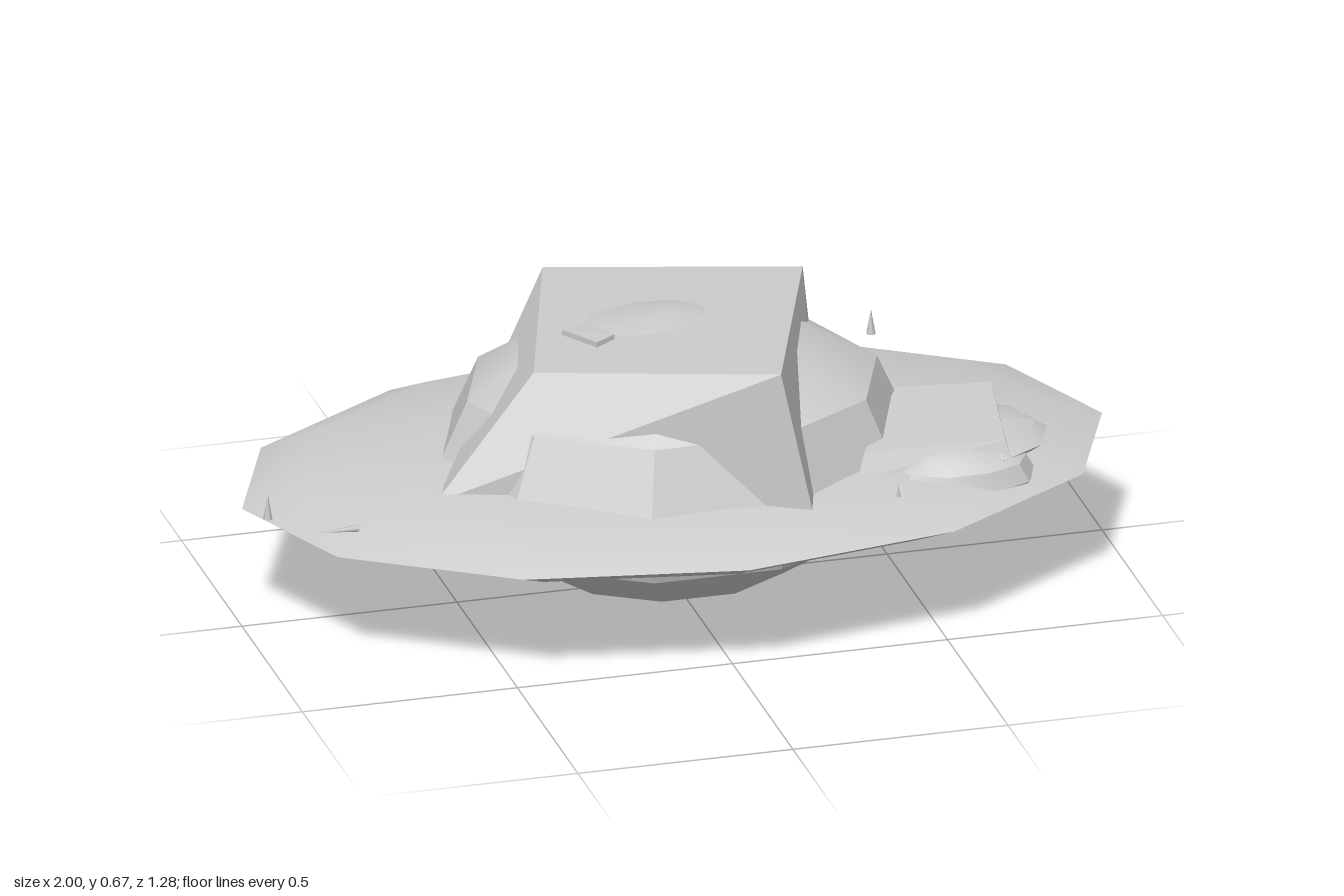
import * as THREE from 'three';
import { toCreasedNormals } from 'three/addons/utils/BufferGeometryUtils.js';
import { ConvexGeometry } from 'three/addons/geometries/ConvexGeometry.js';

export function createModel() {
  const model = new THREE.Group();
  model.name = 'saucer';
  const grey = new THREE.MeshStandardMaterial({ color: 0xcccccc });
  grey.name = 'pale grey';

  function add(name, geometry) {
    const mesh = new THREE.Mesh(geometry, grey);
    mesh.name = name;
    model.add(mesh);
    return mesh;
  }

  // low-poly ellipsoid with baked radii, so creases follow the squashed shape
  function ellipsoid(name, [x, y, z], [rx, ry, rz], sides) {
    const g = new THREE.SphereGeometry(1, sides, 6).scale(rx, ry, rz).translate(x, y, z);
    return add(name, toCreasedNormals(g, 0.5));
  }

  // skewed block from four top and four bottom corners
  function block(name, corners) {
    return add(name, new ConvexGeometry(corners.map((c) => new THREE.Vector3(...c))));
  }

  // wide flat disc and the round hull through its middle
  ellipsoid('disc', [0, 0.286, 0], [1, 0.088, 0.64], 12);
  ellipsoid('hull', [0, 0.325, 0], [0.55, 0.325, 0.46], 10);

  // tilted, flared cabin over the hull
  block('cabin', [
    [-0.37, 0.615, 0.17], [0.13, 0.665, 0.44], [0.36, 0.635, -0.2], [-0.18, 0.6, -0.43],
    [-0.6, 0.33, 0.18], [0.22, 0.215, 0.475], [0.4, 0.25, -0.2], [-0.26, 0.3, -0.5],
  ]);

  // small slab on the roof
  block('roofSlab', [
    [-0.25, 0.627, -0.02], [-0.19, 0.627, -0.04], [-0.15, 0.638, 0.06], [-0.2, 0.636, 0.09],
    [-0.25, 0.59, -0.02], [-0.19, 0.59, -0.04], [-0.15, 0.59, 0.06], [-0.2, 0.59, 0.09],
  ]);

  // side pod: a flat lid, a rounded core and a lump that pierces the disc
  block('podLid', [
    [0.36, 0.395, 0.31], [0.68, 0.4, 0.34], [0.73, 0.41, 0.04], [0.52, 0.405, 0],
    [0.34, 0.34, 0.33], [0.69, 0.355, 0.355], [0.73, 0.36, 0.06], [0.5, 0.34, 0],
  ]);
  ellipsoid('podCore', [0.61, 0.36, 0.2], [0.205, 0.038, 0.17], 10);
  ellipsoid('podLump', [0.58, 0.305, 0.31], [0.18, 0.085, 0.105], 10);

  // tiny spikes around the rim: x, base height, z, height
  const spikes = [
    [-0.965, 0.295, 0.09, 0.06], [0.62, 0.29, -0.56, 0.06], [-0.01, 0.315, -0.58, 0.035],
    [0.09, 0.315, -0.585, 0.035], [0.4, 0.34, 0.45, 0.028],
  ];
  for (const [x, y, z, h] of spikes) {
    add('spike', new THREE.ConeGeometry(h * 0.18, h, 6)).position.set(x, y + h / 2, z);
  }

  // spike lying flat on the rim
  const fallen = add('fallenSpike', new THREE.ConeGeometry(0.008, 0.1, 6));
  fallen.position.set(-0.855, 0.33, 0.272);
  fallen.rotation.z = Math.PI / 2;

  return model;
}
